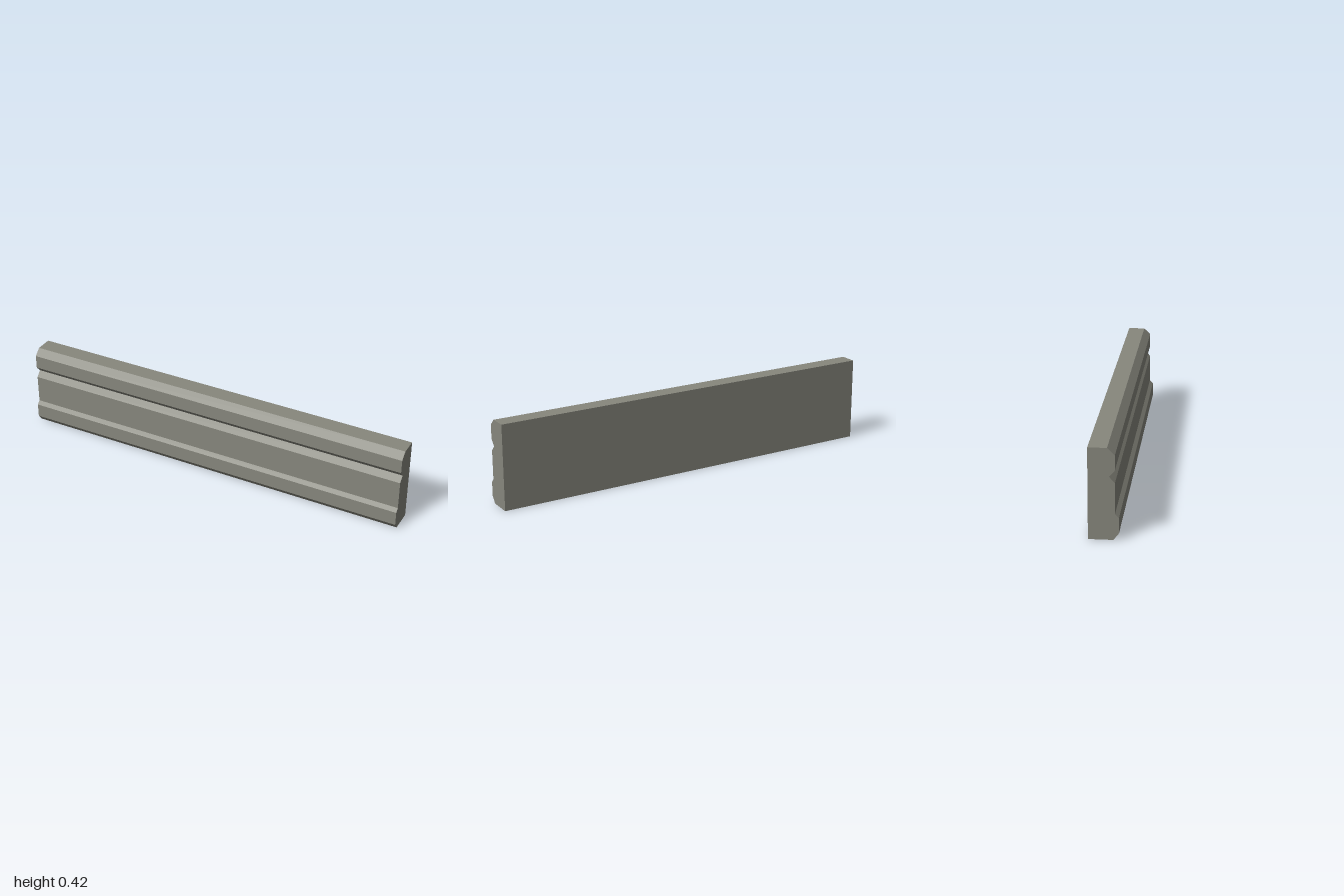
import * as THREE from 'three';

export function createModel() {
  const group = new THREE.Group();
  group.name = 'moulding';

  const stone = new THREE.MeshStandardMaterial({ color: 0x87877d, flatShading: true });
  stone.name = 'warm grey stone';

  // Cross-section as [z, y]: flat back, chamfered top, V groove, thicker plinth
  const profile = [
    [-0.067, 0], [-0.067, 0.417], [0.017, 0.417], [0.05, 0.385],
    [0.05, 0.317], [0.025, 0.288], [0.05, 0.26], [0.05, 0.118],
    [0.067, 0.101], [0.067, 0.031], [0.043, 0],
  ];
  const shape = new THREE.Shape(profile.map(([z, y]) => new THREE.Vector2(-z, y)));

  // Sweep the section along x, centred
  const geometry = new THREE.ExtrudeGeometry(shape, { depth: 2, bevelEnabled: false });
  geometry.translate(0, 0, -1);
  geometry.rotateY(Math.PI / 2);

  const board = new THREE.Mesh(geometry, stone);
  board.name = 'mouldingBoard';
  group.add(board);
  return group;
}
